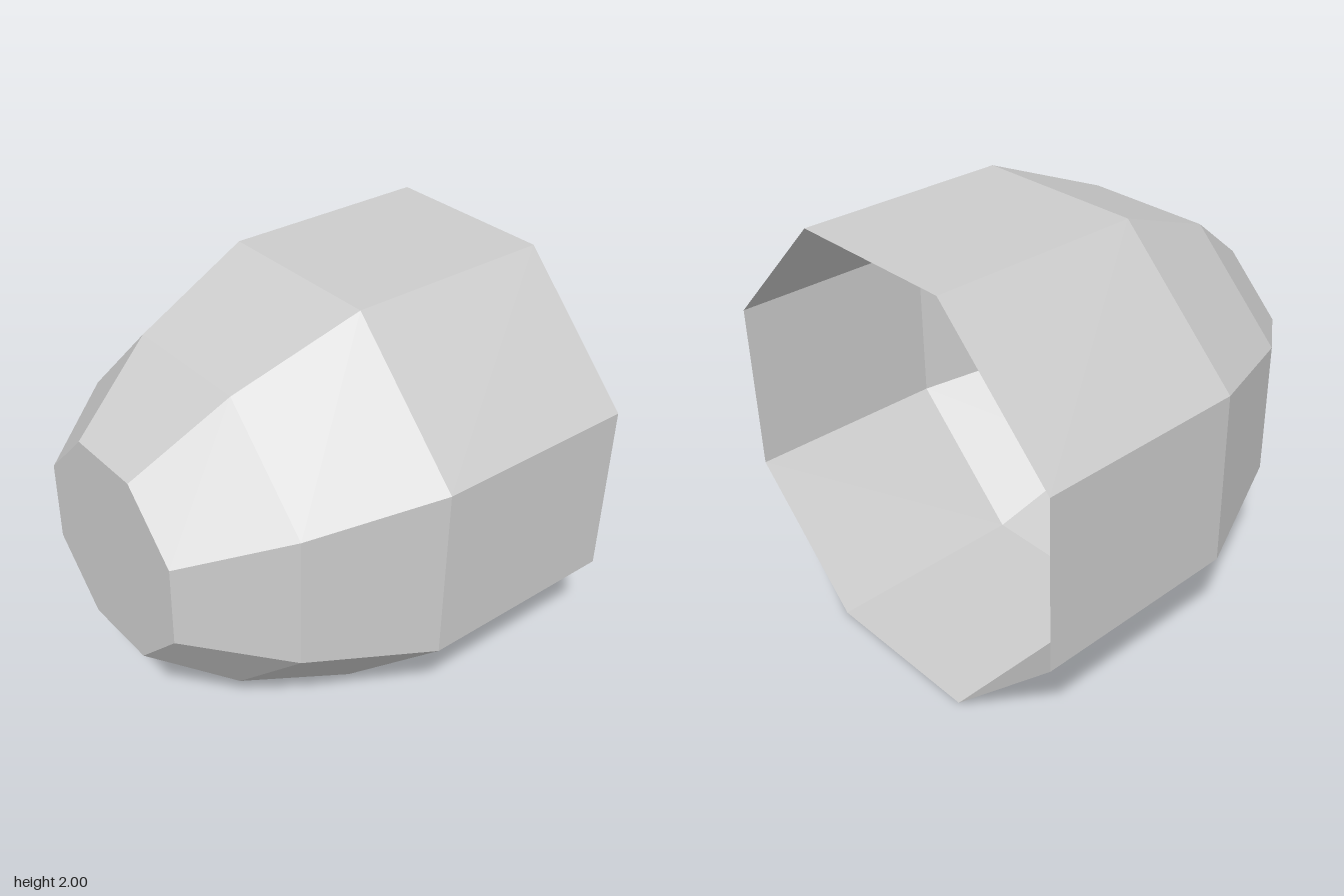
import * as THREE from 'three';

const SIDES = 8;
const START = Math.PI / SIDES; // puts flat sides at top, bottom, left and right
const CORNER = 1 / Math.cos(Math.PI / SIDES); // flat-side distance to corner radius

export function createModel() {
  const group = new THREE.Group();
  group.name = 'octagonalShell';
  const grey = new THREE.MeshStandardMaterial({ color: 0xcccccc, side: THREE.DoubleSide });
  grey.name = 'lightGrey';

  // Faceted wall, open at the back and tapering in two steps to the front
  const profile = [[1, -1], [1, 0], [0.77, 0.58], [0.462, 1]]
    .map(([r, z]) => new THREE.Vector2(r * CORNER, z));
  const wallGeometry = new THREE.LatheGeometry(profile, SIDES, START).toNonIndexed();
  wallGeometry.rotateX(Math.PI / 2);
  wallGeometry.computeVertexNormals();
  const wall = new THREE.Mesh(wallGeometry, grey);
  wall.name = 'taperedWall';
  wall.position.y = 1;

  // Flat octagon closing the front
  const cap = new THREE.Mesh(new THREE.CircleGeometry(0.462 * CORNER, SIDES, START), grey);
  cap.name = 'frontCap';
  cap.position.set(0, 1, 1);

  group.add(wall, cap);
  return group;
}
